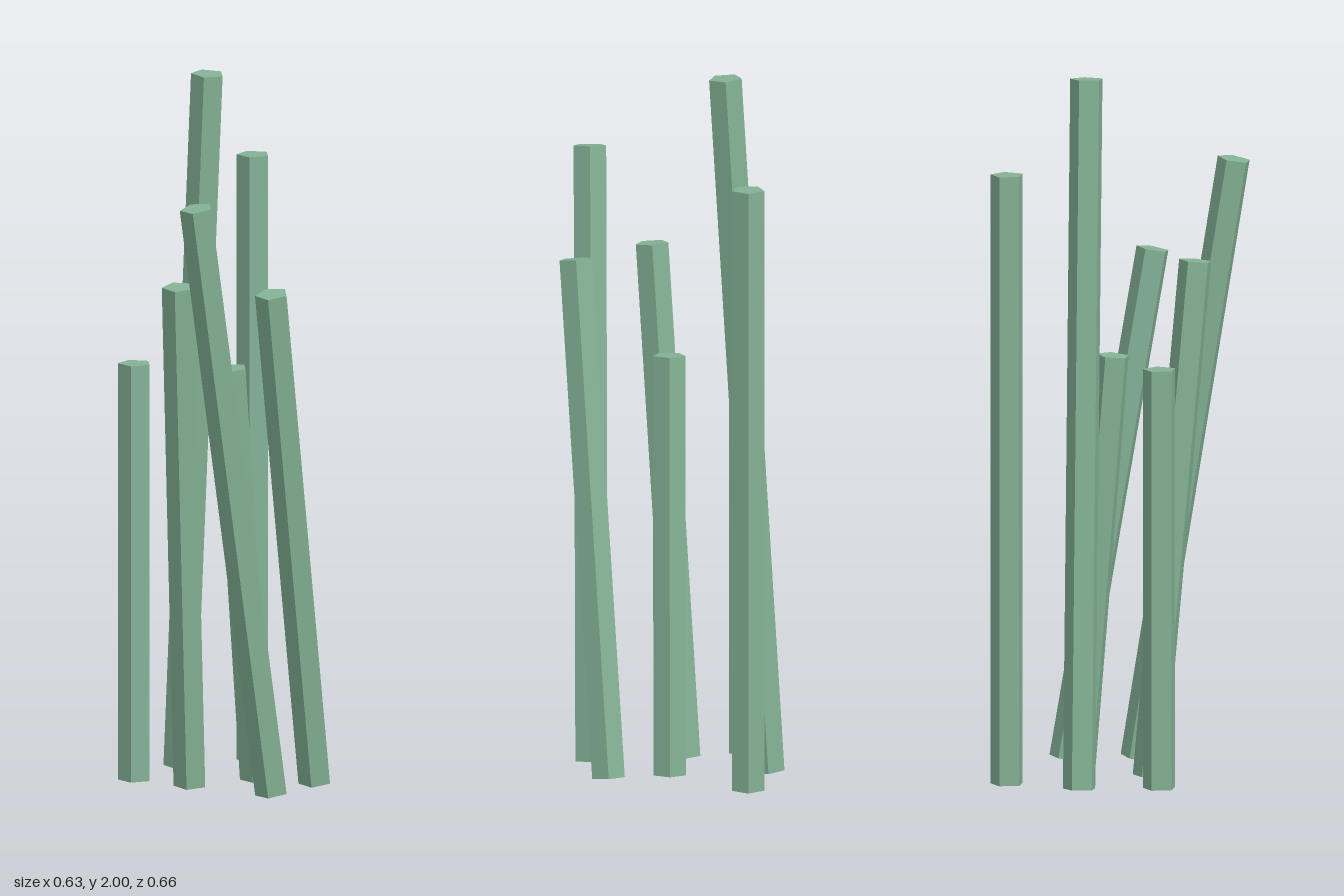
import * as THREE from 'three';

export function createModel() {
  const group = new THREE.Group();
  group.name = 'stalkCluster';
  const green = new THREE.MeshStandardMaterial({ color: 0x84b295 });
  green.name = 'stalk green';
  green.flatShading = true;

  const radius = 0.048, spacing = 0.2165, x0 = -0.2085, z0 = -0.281;

  // Each stalk: grid column, grid row, length, forward lean, sideways lean
  const stalks = [
    [0, 0, 1.73, 0, 0],
    [0, 1, 2.0, 0, 0.06],
    [0, 2, 1.19, 0, 0],
    [1, 1, 1.19, 0.08, 0],
    [1, 2, 1.46, 0.08, 0.06],
    [2, 1, 1.46, 0.16, 0.06],
    [2, 2, 1.73, 0.16, 0],
  ];

  // Five-sided prisms with a corner to the back, leaning about their middles
  stalks.forEach(([col, row, length, forward, side], i) => {
    const geometry = new THREE.CylinderGeometry(radius, radius, length, 5, 1, false, Math.PI);
    const stalk = new THREE.Mesh(geometry, green);
    stalk.name = `stalk${i + 1}`;
    stalk.position.set(x0 + col * spacing, length / 2, z0 + row * spacing);
    stalk.rotation.set(forward, 0, -side);
    group.add(stalk);
  });
  return group;
}
